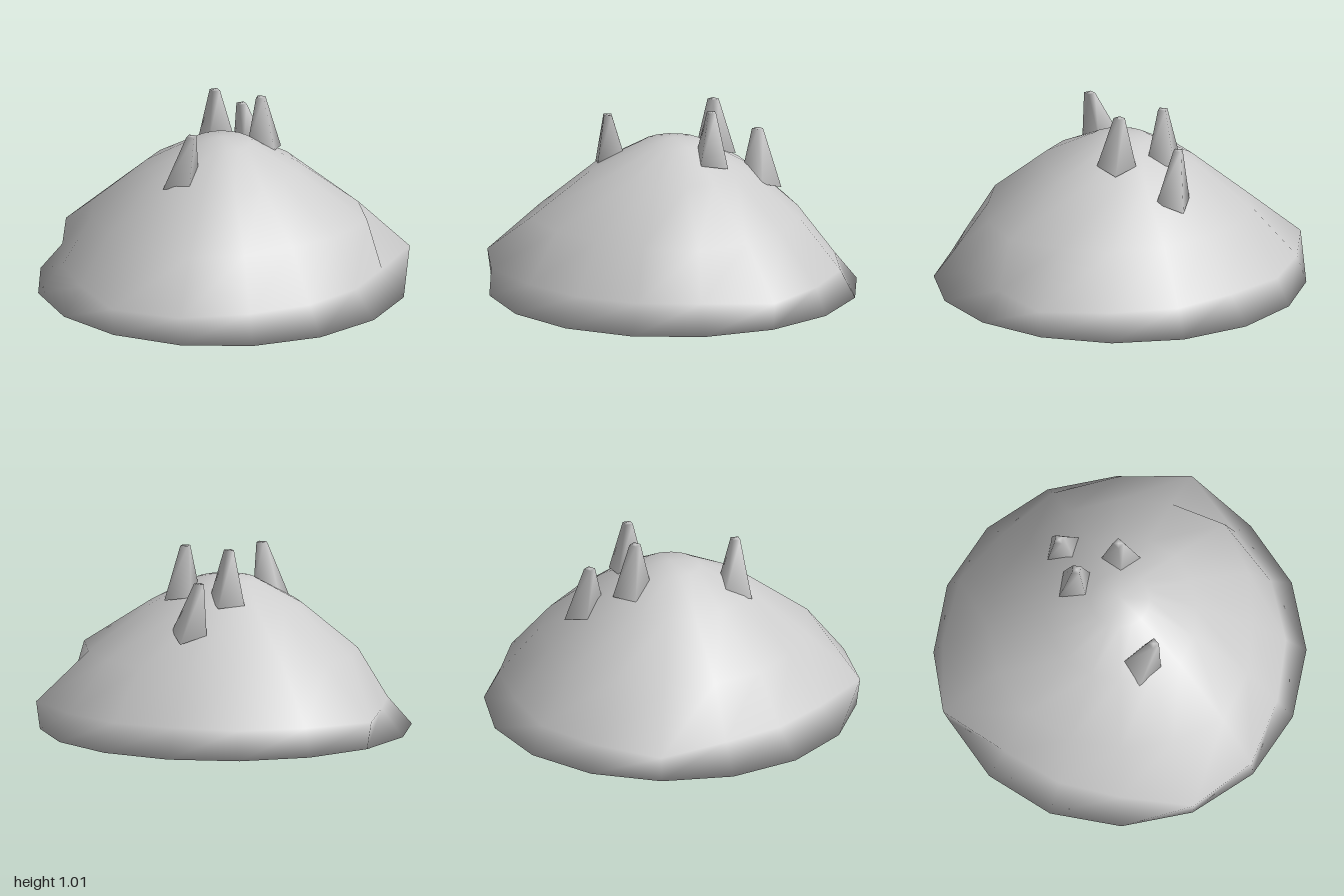
import * as THREE from 'three';
import { mergeVertices } from 'three/addons/utils/BufferGeometryUtils.js';

const SIDES = 16;
// Dome rings: height and radii, either one value or one per side from +x towards +z
const RINGS = [
  [0, 1],
  [0.15, [0.88, 0.88, 0.89, 0.91, 0.99, 1.02, 0.89, 0.87, 0.88, 1.03, 0.95, 0.93, 0.88, 0.92, 0.94, 1.02]],
  [0.42, [0.8, 0.75, 0.71, 0.74, 0.78, 0.73, 0.71, 0.71, 0.71, 0.71, 0.71, 0.7, 0.68, 0.7, 0.71, 0.74]],
  [0.67, [0.42, 0.41, 0.41, 0.43, 0.45, 0.43, 0.41, 0.41, 0.415, 0.41, 0.41, 0.41, 0.41, 0.41, 0.41, 0.41]],
  [0.81, 0.16],
];

// Lopsided faceted dome, smoothly shaded round the rim into a flat underside
function domeGeometry() {
  const pos = [], index = [];
  for (const [y, radii] of RINGS) {
    for (let j = 0; j < SIDES; j++) {
      const t = (j / SIDES) * Math.PI * 2;
      const r = Array.isArray(radii) ? radii[j] : radii;
      pos.push(r * Math.cos(t), y, r * Math.sin(t));
    }
  }
  const apex = RINGS.length * SIDES, under = apex + 1;
  pos.push(0, 0.835, 0, 0, 0, 0);

  for (let i = 0; i < RINGS.length; i++) {
    for (let j = 0; j < SIDES; j++) {
      const k = (j + 1) % SIDES;
      const a = i * SIDES + j, b = i * SIDES + k;
      if (i === RINGS.length - 1) index.push(a, apex, b);
      else index.push(a, a + SIDES, b, b, a + SIDES, b + SIDES);
    }
  }
  for (let j = 0; j < SIDES; j++) index.push(under, j, (j + 1) % SIDES);

  const g = new THREE.BufferGeometry();
  g.setAttribute('position', new THREE.Float32BufferAttribute(pos, 3));
  g.setIndex(index);
  g.computeVertexNormals();
  // Rim normals lean outwards and down
  const n = new THREE.Vector3();
  for (let j = 0; j < SIDES; j++) {
    n.set(pos[j * 3], -0.75, pos[j * 3 + 2]).normalize();
    g.attributes.normal.setXYZ(j, n.x, n.y, n.z);
  }
  return g;
}

// Four-sided blunt spike from a base point to a tip; its foot follows the slope
function spikeGeometry(base, tip, turn) {
  const source = new THREE.CylinderGeometry(0.03, 0.105, 1, 4);
  source.deleteAttribute('normal');
  source.deleteAttribute('uv');
  const g = mergeVertices(source);
  g.rotateY(Math.PI / 4 + turn);
  const p = g.attributes.position;
  for (let i = 0; i < p.count; i++) {
    const x = p.getX(i), z = p.getZ(i), f = p.getY(i) + 0.5;
    const slope = (1 - f) * -0.9 * (x * base[0] + z * base[2]);
    p.setXYZ(i,
      x + base[0] + (tip[0] - base[0]) * f,
      base[1] + (tip[1] - base[1]) * f + slope,
      z + base[2] + (tip[2] - base[2]) * f);
  }
  g.computeVertexNormals();
  return g;
}

export function createModel() {
  const group = new THREE.Group();
  const grey = new THREE.MeshStandardMaterial({ color: 0xcccccc, side: THREE.DoubleSide });
  grey.name = 'lightGrey';

  const add = (name, geometry) => {
    const mesh = new THREE.Mesh(geometry, grey);
    mesh.name = name;
    group.add(mesh);
  };

  add('dome', domeGeometry());

  // Spikes near the top: base, tip, turn about the vertical
  const spikes = [
    ['frontSpike', [-0.155, 0.68, 0.315], [-0.09, 0.95, 0.34], -0.1],
    ['middleSpike', [-0.09, 0.73, -0.25], [-0.095, 1.01, -0.235], 0.62],
    ['leftSpike', [0.19, 0.74, -0.18], [0.17, 1.01, -0.18], 0],
    ['backSpike', [0.05, 0.59, -0.475], [0, 0.86, -0.46], 0.62],
  ];
  for (const [name, base, tip, turn] of spikes) add(name, spikeGeometry(base, tip, turn));
  return group;
}
